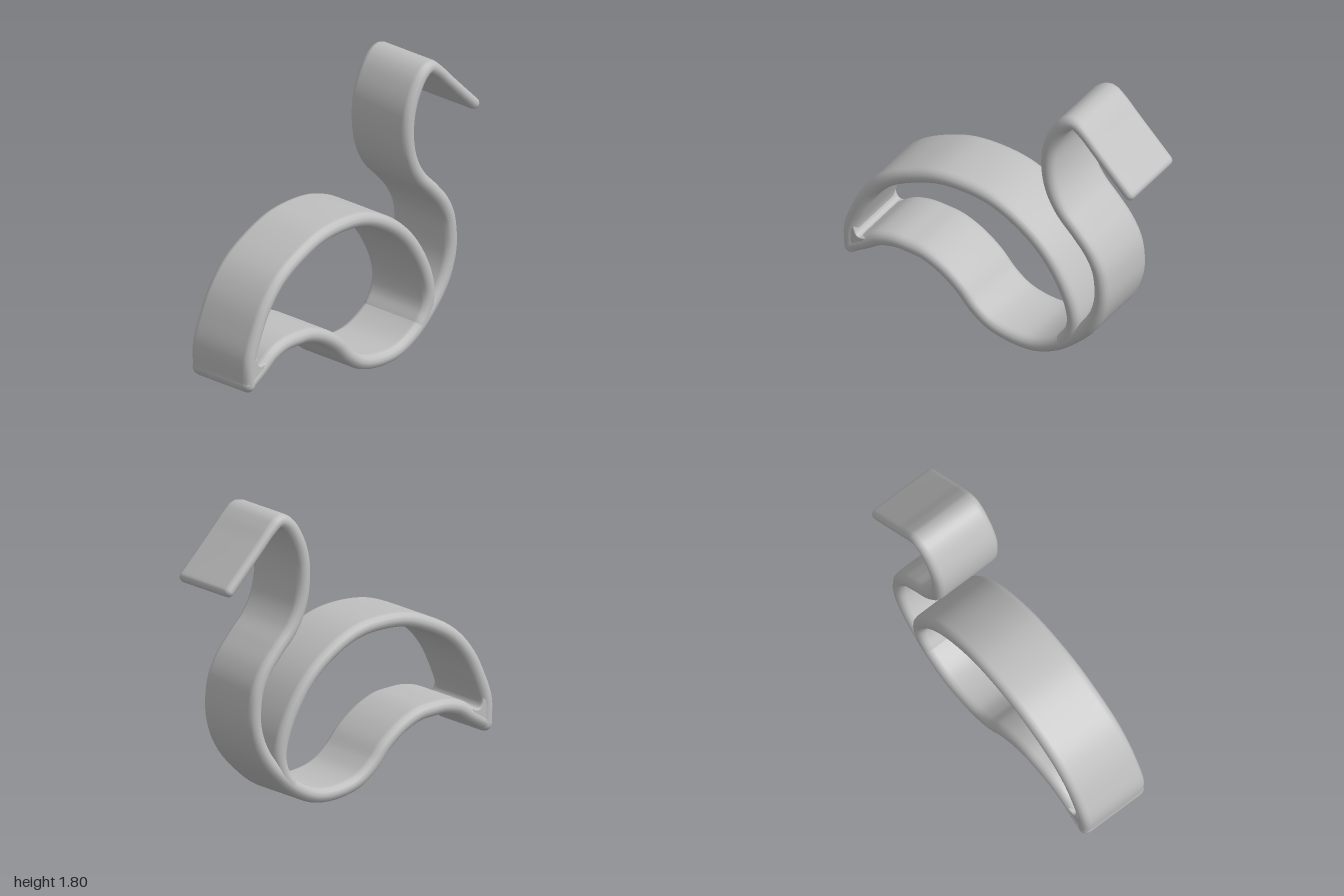
import * as THREE from 'three';

const HALF_DEPTH = 0.23;
const ARC = 6; // segments in each rounded edge

// Centre line of beak, neck, breast, belly and underside of the tail
const outlinePath = [
  [0.963, 1.408], [0.86, 1.51], [0.74, 1.63], [0.65, 1.72], [0.585, 1.762], [0.52, 1.73],
  [0.445, 1.615], [0.407, 1.49], [0.405, 1.33], [0.437, 1.2], [0.5, 1.09], [0.6, 0.985],
  [0.69, 0.88], [0.747, 0.77], [0.766, 0.66], [0.764, 0.55], [0.73, 0.43], [0.67, 0.325],
  [0.58, 0.225], [0.46, 0.125], [0.31, 0.057], [0.15, 0.05], [0, 0.087], [-0.11, 0.165],
  [-0.2, 0.262], [-0.32, 0.35], [-0.45, 0.405], [-0.55, 0.415], [-0.65, 0.415],
  [-0.76, 0.385], [-0.85, 0.325], [-0.957, 0.26],
];
// Centre line of the arched back, from tail tip to breast
const backPath = [
  [-0.955, 0.255], [-0.955, 0.4], [-0.9, 0.555], [-0.82, 0.705], [-0.7, 0.835], [-0.5, 0.945],
  [-0.32, 1.0], [-0.06, 1.0], [0.1, 0.953], [0.28, 0.845], [0.4, 0.73], [0.5, 0.58],
  [0.56, 0.44], [0.578, 0.33], [0.555, 0.235], [0.5, 0.155],
];

// Sweeps a deep strip with fully rounded edges along a path; radiusAt gives half its thickness
function ribbon(path, steps, radiusAt) {
  const curve = new THREE.CatmullRomCurve3(path.map(([x, y]) => new THREE.Vector3(x, y, 0)));
  const length = curve.getLength();
  const stations = [];
  const add = (u, advance, scale) => {
    const p = curve.getPointAt(u), t = curve.getTangentAt(u), r = radiusAt(u * length);
    stations.push({ p: p.addScaledVector(t, advance * r), t, r: r * scale, core: HALF_DEPTH - r });
  };
  // Rounded start, body, rounded end
  for (let i = 0; i < ARC; i++) {
    const a = (i / ARC) * Math.PI / 2;
    add(0, -Math.cos(a), Math.sin(a));
  }
  for (let i = 0; i <= steps; i++) add(i / steps, 0, 1);
  for (let i = 1; i <= ARC; i++) {
    const a = (i / ARC) * Math.PI / 2;
    add(1, Math.sin(a), Math.cos(a));
  }

  const ring = 2 * (ARC + 1);
  const positions = [], index = [];
  for (const { p, t, r, core } of stations) {
    for (let k = 0; k < ring; k++) {
      const side = k <= ARC ? 1 : -1;
      const a = ((k % (ARC + 1)) / ARC) * Math.PI + (side > 0 ? 0 : Math.PI);
      const n = Math.cos(a) * r;
      positions.push(p.x - t.y * n, p.y + t.x * n, side * core + Math.sin(a) * r);
    }
  }
  for (let i = 0; i < stations.length - 1; i++) {
    for (let k = 0; k < ring; k++) {
      const a = i * ring + k, b = i * ring + (k + 1) % ring;
      index.push(a, a + ring, b, b, a + ring, b + ring);
    }
  }
  // Flat closing faces
  const last = (stations.length - 1) * ring;
  for (let k = 1; k < ring - 1; k++) {
    index.push(0, k, k + 1, last, last + k + 1, last + k);
  }
  const geometry = new THREE.BufferGeometry();
  geometry.setAttribute('position', new THREE.Float32BufferAttribute(positions, 3));
  geometry.setIndex(index);
  geometry.computeVertexNormals();
  return geometry;
}

export function createModel() {
  const group = new THREE.Group();
  group.name = 'birdCutter';
  const grey = new THREE.MeshStandardMaterial({ color: 0xbfbfbf, side: THREE.DoubleSide });
  grey.name = 'plain grey';

  const add = (name, geometry) => {
    const mesh = new THREE.Mesh(geometry, grey);
    mesh.name = name;
    group.add(mesh);
  };

  // The strip thins out towards the beak
  const beakTaper = (s) => THREE.MathUtils.lerp(0.035, 0.046, THREE.MathUtils.smoothstep(s, 0.35, 0.65));
  add('neckAndBelly', ribbon(outlinePath, 170, beakTaper));
  add('archedBack', ribbon(backPath, 100, () => 0.046));

  // Web filling the inner corner of the tail
  const web = new THREE.Shape();
  web.moveTo(-0.95, 0.27);
  web.lineTo(-0.86, 0.335);
  web.lineTo(-0.85, 0.36);
  web.quadraticCurveTo(-0.91, 0.335, -0.922, 0.41);
  web.lineTo(-0.95, 0.39);
  const webDepth = 2 * (HALF_DEPTH - 0.02);
  const webGeometry = new THREE.ExtrudeGeometry(web, {
    depth: webDepth, bevelEnabled: true, bevelThickness: 0.015, bevelSize: 0.008, bevelSegments: 3,
  });
  webGeometry.translate(0, 0, -webDepth / 2);
  add('tailWeb', webGeometry);

  return group;
}
